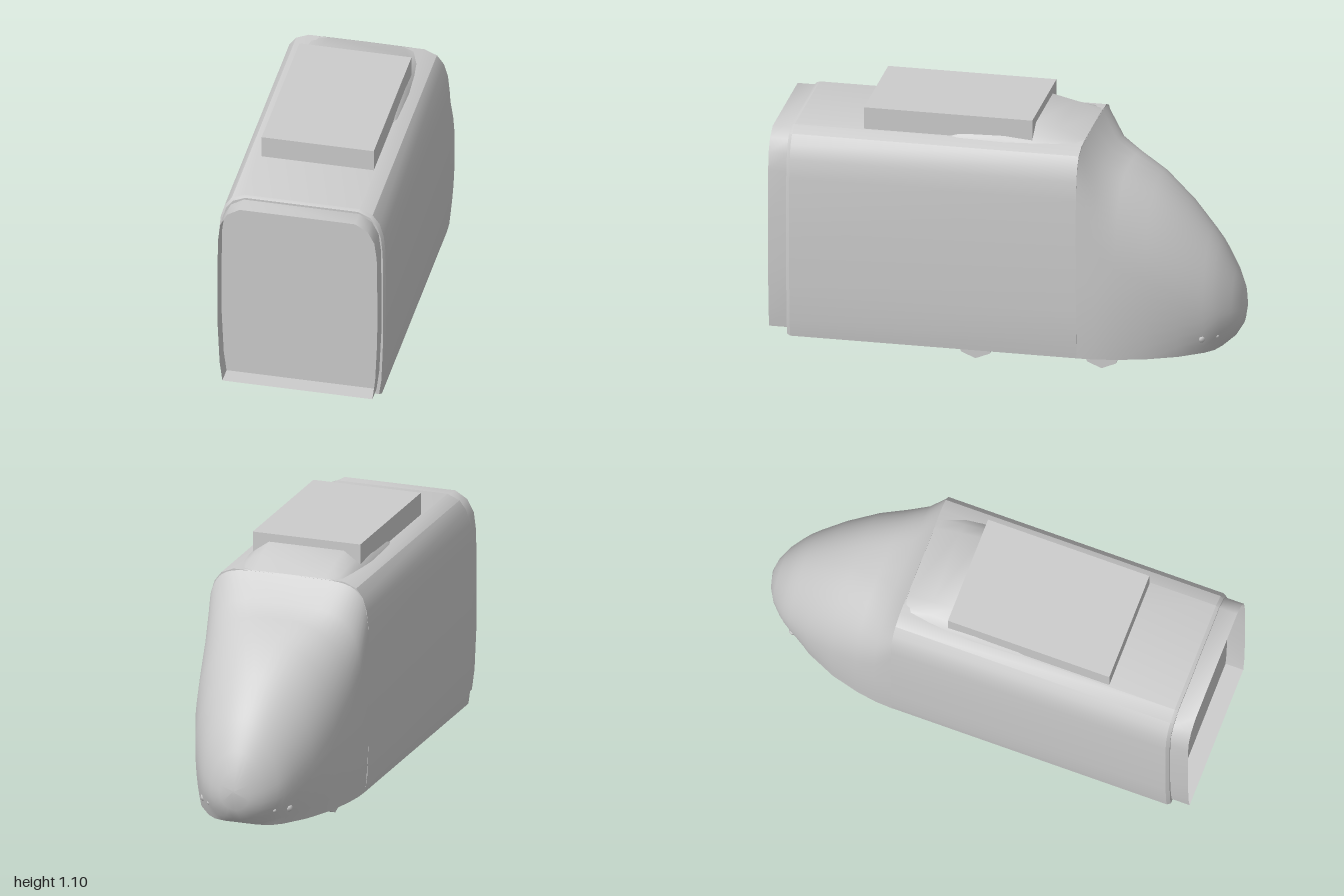
import * as THREE from 'three';
import { toCreasedNormals } from 'three/addons/utils/BufferGeometryUtils.js';

// Double-sided, as the gangway is an open sleeve
const grey = new THREE.MeshStandardMaterial({ color: 0xcccccc, side: THREE.DoubleSide });
grey.name = 'plain grey';

// Skin through rings of [x, y], each at its own z, from +z towards -z
function loft(rings, crease, capped = true) {
  const pos = [], idx = [], n = rings[0].pts.length;
  for (const { z, pts } of rings) for (const [x, y] of pts) pos.push(x, y, z);
  for (let i = 0; i < rings.length - 1; i++) {
    for (let k = 0; k < n; k++) {
      const a = i * n + k, b = i * n + (k + 1) % n;
      idx.push(a, a + n, b + n, a, b + n, b);
    }
  }
  for (const i of capped ? [0, rings.length - 1] : []) {
    const { z, pts } = rings[i], c = pos.length / 3;
    const ys = pts.map(p => p[1]);
    pos.push(0, (Math.min(...ys) + Math.max(...ys)) / 2, z);
    for (let k = 0; k < n; k++) {
      const a = i * n + k, b = i * n + (k + 1) % n;
      if (i === 0) idx.push(c, a, b); else idx.push(c, b, a);
    }
  }
  const g = new THREE.BufferGeometry();
  g.setAttribute('position', new THREE.Float32BufferAttribute(pos, 3));
  g.setIndex(idx);
  return toCreasedNormals(g, crease);
}

// Mirrors the +x half of a section (listed bottom to top)
const mirrored = half => [...half, ...half.map(([x, y]) => [-x, y]).reverse()];

const FLOOR = 0.077;
const bodyHalf = [[0.345, FLOOR], [0.355, 0.15], [0.361, 0.3], [0.363, 0.5], [0.361, 0.8],
  [0.353, 0.88], [0.335, 0.94], [0.305, 0.98], [0.25, 1.003]];
const scaled = (sx, sy) => mirrored(bodyHalf.map(([x, y]) => [x * sx, 0.54 + (y - 0.54) * sy]));

// Rounded nose section, cut flat at the bottom where its width has shrunk to w * foot
function noseSection(w, top, bottom, power, foot) {
  const yc = bottom + (top - bottom) * 0.4, low = Math.acos(foot), half = [];
  for (let i = 0; i < 5; i++) {
    const a = low * (1 - i / 5);
    half.push([w * Math.cos(a), yc - (yc - bottom) * Math.sin(a) / Math.sin(low)]);
  }
  for (let i = 0; i < 14; i++) {
    const a = i / 14 * Math.PI / 2;
    half.push([w * Math.cos(a) ** (2 / power), yc + (top - yc) * Math.sin(a) ** (2 / power)]);
  }
  const ring = mirrored(half);
  ring.splice(half.length, 0, [0, top]);
  return ring;
}

export function createModel() {
  const group = new THREE.Group();
  const add = (name, geometry, x = 0, y = 0, z = 0) => {
    const mesh = new THREE.Mesh(geometry, grey);
    mesh.name = name;
    mesh.position.set(x, y, z);
    group.add(mesh);
  };

  // Carriage body with a slightly eased end
  add('carriageBody', loft([
    { z: 0.92, pts: scaled(0.975, 0.988) },
    { z: 0.905, pts: scaled(1, 1) },
    { z: -0.335, pts: scaled(1, 1) },
  ], 0.5));

  // End gangway, an open sleeve around the end wall
  const gangwayHalf = [[0.325, 0.107], [0.337, 0.2], [0.346, 0.4], [0.347, 0.6], [0.344, 0.82],
    [0.334, 0.9], [0.305, 0.955], [0.25, 0.988]];
  add('endGangway', loft([1, 0.915].map(z => ({ z, pts: mirrored(gangwayHalf) })), 0.6, false));

  // Streamlined nose: z, half width, top, bottom, squareness, foot width
  const stations = [
    [-0.333, 0.363, 1.006, FLOOR, 6.5, 0.953], [-0.41, 0.358, 0.9, FLOOR, 4, 0.955],
    [-0.5, 0.345, 0.86, FLOOR, 2.9, 0.95], [-0.62, 0.315, 0.8, FLOOR, 2.4, 0.94],
    [-0.75, 0.265, 0.69, FLOOR, 2.1, 0.9], [-0.85, 0.212, 0.575, FLOOR, 2, 0.79],
    [-0.885, 0.189, 0.53, FLOOR, 2, 0.67], [-0.91, 0.168, 0.49, 0.081, 2, 0.45],
    [-0.955, 0.12, 0.41, 0.11, 2, 0.15], [-0.985, 0.068, 0.335, 0.16, 2, 0.1],
    [-1, 0.008, 0.26, 0.235, 2, 0.1],
  ];
  add('nose', loft(stations.map(([z, ...s]) => ({ z, pts: noseSection(...s) })), 0.8));

  // Roof fairing rising from the windscreen edge: z, half width, side y, top y
  const fairing = [[0.25, 0.25, 0.998, 1.005], [0.2, 0.258, 1.01, 1.05], [0, 0.262, 1.012, 1.08],
    [-0.12, 0.26, 1.004, 1.065], [-0.22, 0.255, 1.0, 1.043], [-0.335, 0.245, 0.995, 1.003]];
  add('roofFairing', loft(fairing.map(([z, w, side, top]) => ({
    z, pts: mirrored([[w + 0.01, 0.97], [w * 0.97, side], [w * 0.85, side * 0.6 + top * 0.4], [w * 0.65, top]]),
  })), 1.1));

  // Roof equipment box
  add('roofBox', new THREE.BoxGeometry(0.486, 0.097, 0.728), 0, 1.0525, 0.243);

  // Wheels, half hidden by the floor
  const wheel = new THREE.CylinderGeometry(0.088, 0.088, 0.03, 8).rotateZ(Math.PI / 2);
  for (const side of [-1, 1]) {
    for (const z of [0.125, -0.42]) add('wheel', wheel, side * 0.228, 0.088, z);
    // Small lamps low on the nose
    add('lamp', new THREE.SphereGeometry(0.018, 8, 6), side * 0.19, 0.15, -0.84);
    add('smallLamp', new THREE.SphereGeometry(0.009, 8, 6), side * 0.148, 0.15, -0.9);
  }
  return group;
}
